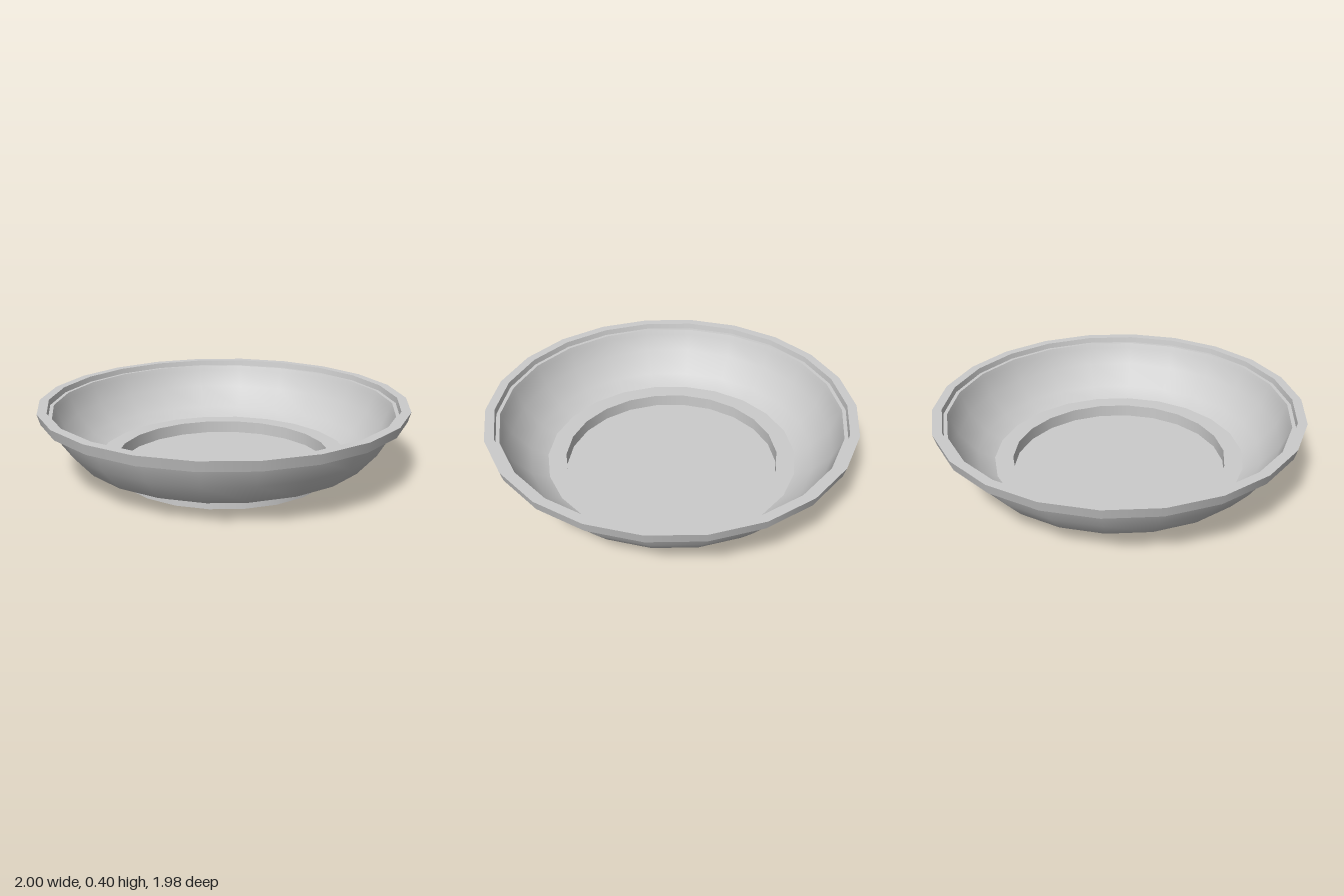
import * as THREE from 'three';

const SIDES = 22;
const material = new THREE.MeshStandardMaterial({ color: 0xcccccc });

// Turns one smooth strip of the profile, given as [radius, height] points.
function turn(name, points) {
  const profile = points.map(([r, y]) => new THREE.Vector2(r, y));
  const mesh = new THREE.Mesh(new THREE.LatheGeometry(profile, SIDES, Math.PI / 2), material);
  mesh.name = name;
  return mesh;
}

// Turns a faceted profile: each segment is its own strip, so its edges stay sharp.
function turnSharp(name, points) {
  const group = new THREE.Group();
  group.name = name;
  for (let i = 1; i < points.length; i++) {
    group.add(turn(`${name}Band${i}`, [points[i - 1], points[i]]));
  }
  return group;
}

export function createModel() {
  const dish = new THREE.Group();
  dish.name = 'dish';
  dish.add(
    // Underside: base disc, foot wall and the flat ring around it
    turnSharp('foot', [[0, 0], [0.6, 0], [0.6, 0.07], [0.69, 0.07]]),
    // Curved outside of the bowl
    turn('outerWall', [[0.69, 0.07], [0.79, 0.115], [0.89, 0.23], [0.93, 0.34]]),
    // Overhanging lip with a small step inside
    turnSharp('lip', [[0.93, 0.34], [0.985, 0.34], [1, 0.395], [0.95, 0.395], [0.945, 0.365], [0.925, 0.365]]),
    // Curved inside of the bowl
    turn('innerWall', [[0.925, 0.365], [0.915, 0.34], [0.875, 0.24], [0.78, 0.128], [0.69, 0.085]]),
    // Flat inner ring and the sunken floor over the foot
    turnSharp('well', [[0.69, 0.085], [0.59, 0.085], [0.59, 0.015], [0, 0.015]])
  );
  return dish;
}
